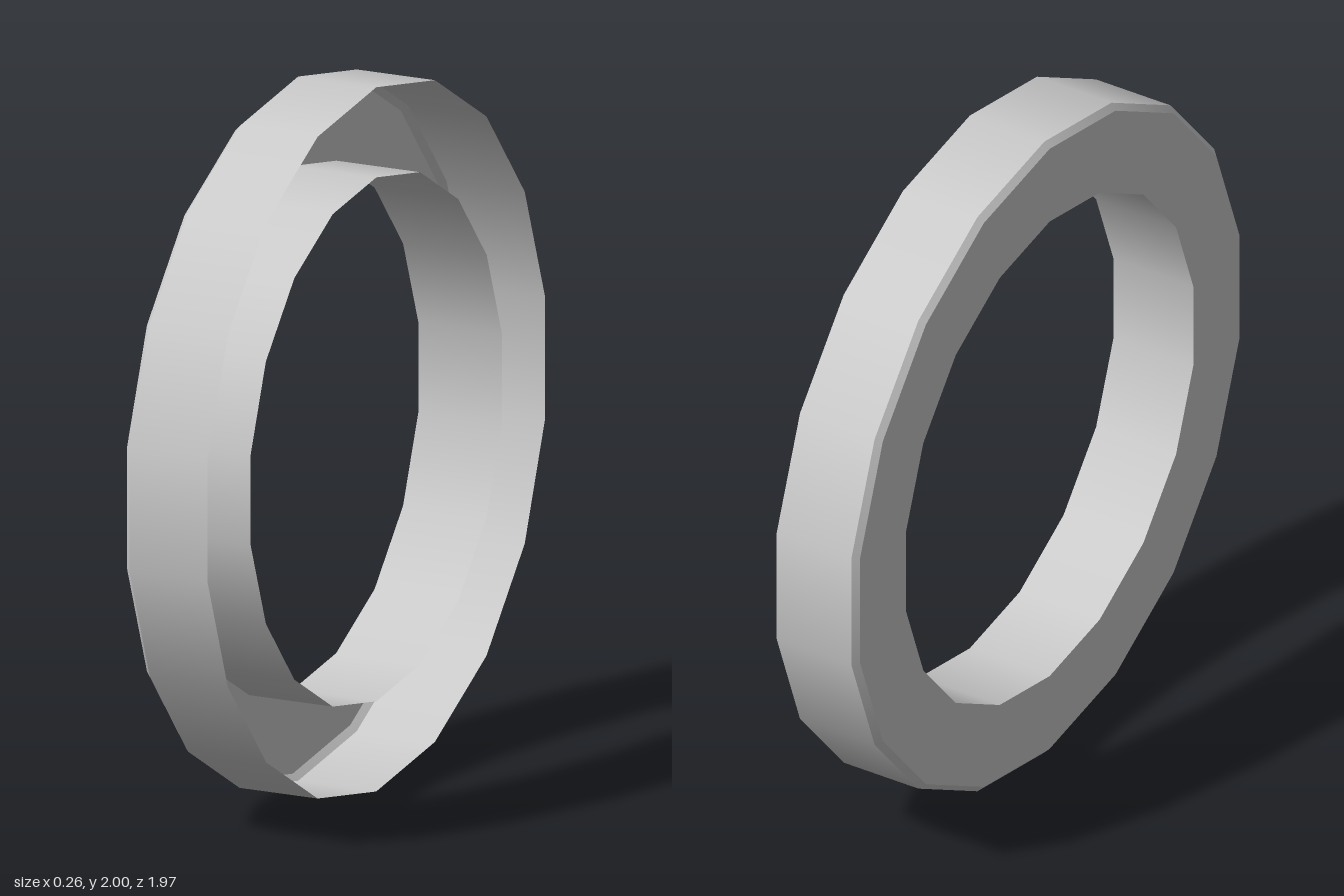
import * as THREE from 'three';

// Thin-walled ring channel, open on its left (+x) side, axis along x.
const SIDES = 18;

export function createModel() {
  const group = new THREE.Group();
  group.name = 'ringChannel';
  const grey = new THREE.MeshStandardMaterial({ color: 0xcccccc, side: THREE.DoubleSide });
  grey.name = 'light grey';

  // Profile as [radius, x], from the open outer rim round to the open inner rim
  const profile = [[1, 0.13], [1, -0.113], [0.982, -0.13], [0.744, -0.13], [0.744, 0.13]];
  const names = ['outerWall', 'chamfer', 'sidePlate', 'innerWall'];

  // Each profile segment is its own band, so edges between them stay sharp
  names.forEach((name, i) => {
    const points = [profile[i], profile[i + 1]].map(([r, x]) => new THREE.Vector2(r, -x));
    const geometry = new THREE.LatheGeometry(points, SIDES, Math.PI / 2);
    geometry.rotateZ(Math.PI / 2);
    geometry.translate(0, 1, 0);
    const mesh = new THREE.Mesh(geometry, grey);
    mesh.name = name;
    group.add(mesh);
  });
  return group;
}
